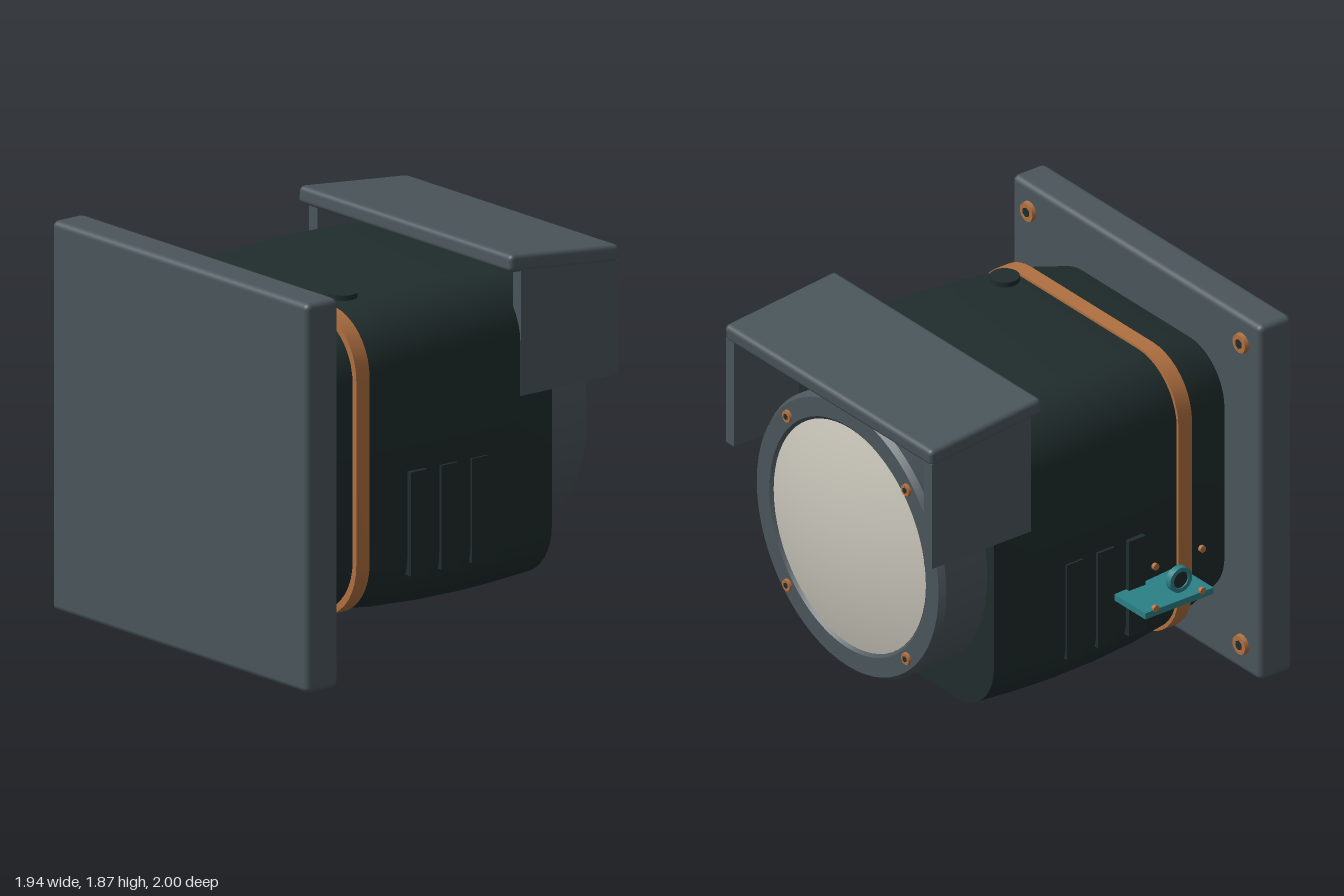
import * as THREE from 'three';
import { toCreasedNormals } from 'three/addons/utils/BufferGeometryUtils.js';
import { RoundedBoxGeometry } from 'three/addons/geometries/RoundedBoxGeometry.js';

const material = (name, color) => {
  const m = new THREE.MeshStandardMaterial({ color });
  m.name = name;
  return m;
};

// Closed solid through rounded-rectangle sections [z, halfWidth, halfHeight, cornerRadius], listed front to back
function loft(sections, steps = 10) {
  const pos = [], idx = [], n = 4 * (steps + 1), last = sections.length - 1;
  for (const [z, w, h, r] of sections) {
    for (let k = 0; k < 4; k++) {
      const cx = (k === 0 || k === 3 ? 1 : -1) * (w - r);
      const cy = (k < 2 ? 1 : -1) * (h - r);
      for (let s = 0; s <= steps; s++) {
        const a = (k + s / steps) * Math.PI / 2;
        pos.push(cx + r * Math.cos(a), cy + r * Math.sin(a), z);
      }
    }
  }
  const front = pos.length / 3, back = front + 1;
  pos.push(0, 0, sections[0][0], 0, 0, sections[last][0]);
  for (let j = 0; j < n; j++) {
    const k = (j + 1) % n;
    for (let i = 0; i < last; i++) {
      const a = i * n + j, b = i * n + k;
      idx.push(a, a + n, b, b, a + n, b + n);
    }
    idx.push(front, j, k, back, last * n + k, last * n + j);
  }
  const g = new THREE.BufferGeometry();
  g.setAttribute('position', new THREE.Float32BufferAttribute(pos, 3));
  g.setIndex(idx);
  return toCreasedNormals(g, 0.6);
}

// Profile of [radius, distance towards the back], turned about z
function turned(profile, crease = 0.4) {
  const g = new THREE.LatheGeometry(profile.map(([r, d]) => new THREE.Vector2(r, d)), 64);
  g.rotateX(-Math.PI / 2);
  return toCreasedNormals(g, crease);
}

export function createModel() {
  const slate = material('slate grey', 0x4a555b);
  const dark = material('dark green grey', 0x202c2c);
  const copper = material('copper', 0xb07040);
  const teal = material('teal', 0x2b8086);
  const cream = material('lens cream', 0xc8c4b9);

  const model = new THREE.Group();
  model.name = 'floodlight';
  const core = new THREE.Group();
  core.name = 'housing';
  core.position.set(0.035, 0.94, 0);
  model.add(core);

  const add = (name, geometry, mat, x = 0, y = 0, z = 0, parent = core) => {
    const m = new THREE.Mesh(geometry, mat);
    m.name = name;
    m.position.set(x, y, z);
    parent.add(m);
    return m;
  };

  // Screw with a dark hex socket; its head points along dir
  const screw = (name, r, h, at, dir) => {
    const g = new THREE.Group();
    g.name = name;
    g.position.set(...at);
    g.quaternion.setFromUnitVectors(new THREE.Vector3(0, 1, 0), new THREE.Vector3(...dir));
    add('screwHead', new THREE.CylinderGeometry(r * 0.9, r, h, 20), copper, 0, 0, 0, g);
    add('screwSocket', new THREE.CylinderGeometry(r * 0.48, r * 0.48, 0.004, 6), dark, 0, h / 2 + 0.001, 0, g);
    core.add(g);
  };

  // Mounting plate
  add('mountingPlate', new RoundedBoxGeometry(1.86, 1.87, 0.19, 3, 0.03), slate, 0, -0.005, 0.905);

  // Barrel-shaped body and its band
  add('body', loft([
    [0.82, 0.66, 0.65, 0.26], [0.65, 0.7, 0.695, 0.28], [0.5, 0.73, 0.72, 0.29],
    [0.3, 0.75, 0.738, 0.29], [0.05, 0.765, 0.748, 0.29], [-0.2, 0.77, 0.75, 0.29],
    [-0.4, 0.765, 0.746, 0.29], [-0.61, 0.75, 0.735, 0.28],
  ]), dark);
  add('band', loft([[0.555, 0.745, 0.735, 0.29], [0.475, 0.745, 0.735, 0.29]]), copper);

  // Lens bezel and domed lens
  add('bezel', turned([
    [0.7, 0.6], [0.7, 0.85], [0.68, 0.88], [0.585, 0.88], [0.57, 0.865], [0.57, 0.84],
  ]), slate);
  const dome = [];
  for (let i = 0; i <= 14; i++) {
    const r = 0.57 * (1 - i / 14);
    dome.push([r, 0.945 - 0.24 * r * r]);
  }
  add('lens', turned(dome, 1), cream);

  // Screws on the plate and bezel corners
  for (const sx of [-1, 1]) {
    for (const sy of [-1, 1]) {
      screw('plateScrew', 0.052, 0.03, [sx * 0.795, sy * 0.795, 0.804], [0, 0, -1]);
      screw('bezelScrew', 0.032, 0.024, [sx * 0.445, sy * 0.445, -0.882], [0, 0, -1]);
    }
  }

  // Hood: tilted roof with two cheeks
  const roof = add('hoodRoof', new RoundedBoxGeometry(1.55, 0.085, 0.655, 3, 0.025), slate, 0, 0.815, -0.671);
  roof.rotation.x = -0.1;
  for (const side of [-1, 1]) {
    const cheek = new THREE.BoxGeometry(0.06, 0.59, 0.58);
    const p = cheek.attributes.position;
    for (let i = 0; i < p.count; i++) {
      if (p.getY(i) > 0) p.setY(i, 0.285 + p.getZ(i) * 0.1);
    }
    cheek.computeVertexNormals();
    add('hoodCheek', cheek, slate, side * 0.74, 0.5, -0.7);

    // Vent ribs
    for (const z of [0.207, 0.025, -0.157]) {
      add('ventRib', new THREE.BoxGeometry(0.06, 0.5, 0.098), dark, side * 0.75, -0.29, z);
    }
  }

  // Button on top
  add('topButton', new THREE.CylinderGeometry(0.07, 0.07, 0.025, 32), dark, 0.42, 0.757, 0.37);

  // Side shelf with a ring port and four small screws
  add('shelf', new THREE.BoxGeometry(0.28, 0.032, 0.4), teal, -0.855, -0.315, 0.285);
  const ring = toCreasedNormals(new THREE.LatheGeometry([
    [0.042, -0.017], [0.064, -0.017], [0.064, 0.017], [0.042, 0.017], [0.042, -0.017],
  ].map(([r, y]) => new THREE.Vector2(r, y)), 32), 0.5);
  add('portRing', ring.rotateZ(Math.PI / 2), teal, -0.992, -0.185, 0.285);
  add('portCore', new THREE.CylinderGeometry(0.043, 0.043, 0.02, 32).rotateZ(Math.PI / 2), dark, -0.992, -0.185, 0.285);
  for (const dy of [-0.11, 0.11]) {
    for (const dz of [-0.137, 0.137]) {
      const s = new THREE.CylinderGeometry(0.017, 0.017, 0.018, 12).rotateZ(Math.PI / 2);
      add('portScrew', s, copper, -0.99, -0.185 + dy, 0.285 + dz);
    }
  }
  return model;
}
